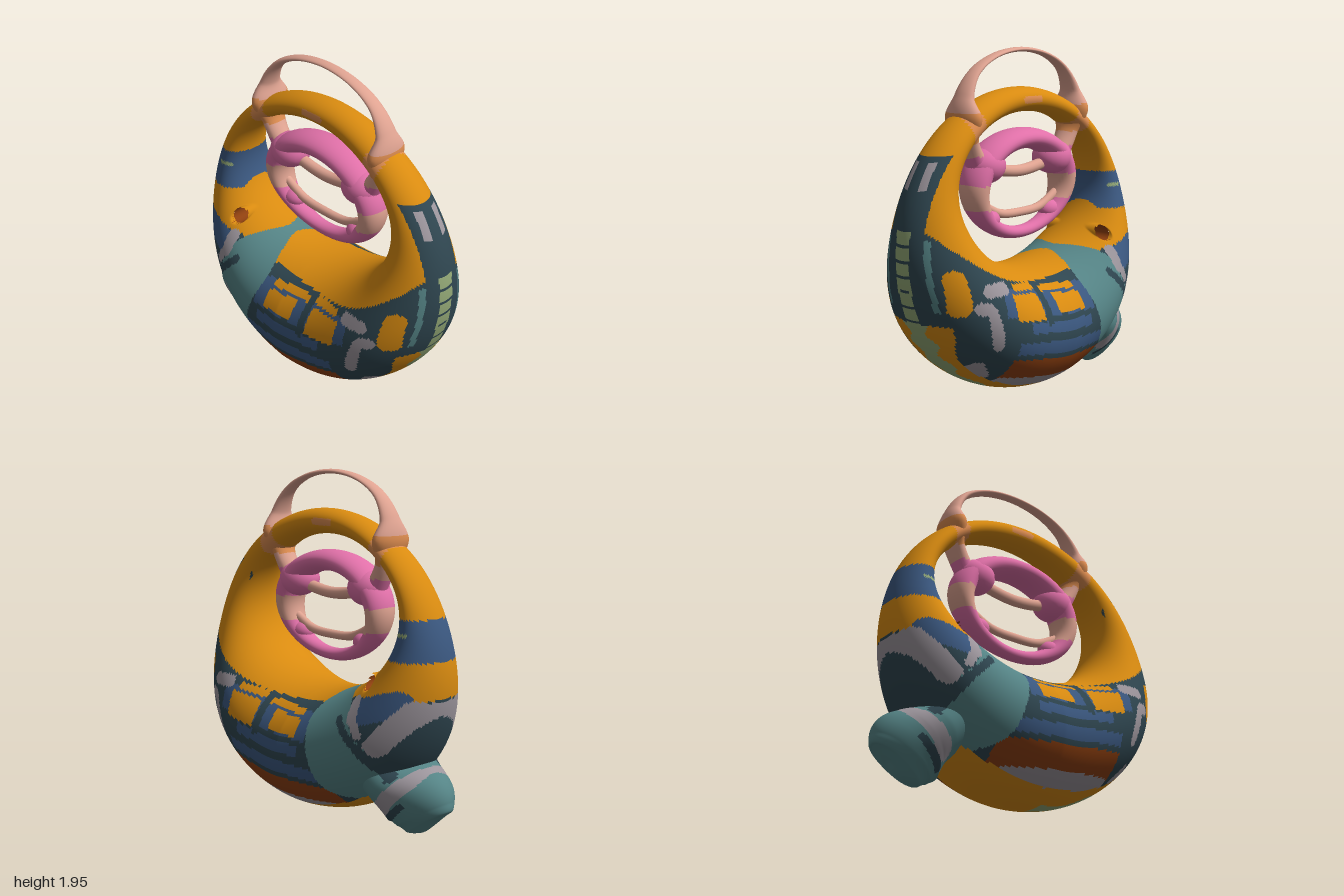
import * as THREE from 'three';

const COLORS = {
  orange: 0xd98b10, slate: 0x2f4650, blue: 0x3b5880, teal: 0x558486, lilac: 0x9c959c,
  rust: 0x8f400f, sage: 0x93a876, pink: 0xe070a8, salmon: 0xdfa391, apricot: 0xdc8c50,
};
const MATS = {};
for (const [name, color] of Object.entries(COLORS)) {
  MATS[name] = new THREE.MeshStandardMaterial({ color });
  MATS[name].name = name;
}

// Panels of the big ring: x range, then height range along its curve
const PANELS = [
  ['lilac', -.36, .42, .1, .19], ['rust', -.37, .42, .19, .31],
  ['blue', -.31, .41, .34, .41], ['blue', -.18, .33, .46, .52],
  ['blue', -.22, .5, .55, .7], ['slate', .15, .2, .5, .72],
  ['orange', -.13, .15, .67, .7], ['orange', -.14, .08, .56, .655],
  ['orange', .2, .4, .685, .72], ['orange', .21, .43, .53, .67],
];
// Brush strokes: start, end, radius
const STROKES = [
  ['sage', -.75, 1.165, -.68, 1.165, .01], ['blue', -.76, .82, -.58, .76, .07],
  ['lilac', -.83, .78, -.66, .58, .055], ['lilac', .48, .765, .59, .765, .035],
  ['lilac', .6, .67, .64, .68, .035], ['lilac', .58, .64, .53, .46, .03],
  ['orange', .75, .84, .73, .69, .05], ['lilac', .5, .25, .57, .33, .03],
  ['teal', -.36, .68, -.45, .4, .16], ['teal', -.5, .5, -.55, .3, .13],
  ['apricot', -.1, 1.71, .02, 1.71, .02],
  ['apricot', -.485, 1.62, -.46, 1.54, .055], ['apricot', .425, 1.62, .4, 1.54, .055],
];
// Strokes lying over the teal area
const TEAL_MARKS = [
  ['lilac', -.52, .8, -.53, .72, .035], ['lilac', -.55, .7, -.58, .64, .025],
  ['slate', -.68, .4, -.58, .56, .028], ['slate', -.58, .56, -.44, .7, .022],
  ['lilac', -.78, .4, -.6, .2, .04], ['slate', -.74, .25, -.6, .13, .018],
];

function applyStrokes(list, color, x, y) {
  for (const [name, ax, ay, bx, by, r] of list) {
    const dx = bx - ax, dy = by - ay;
    const k = THREE.MathUtils.clamp(((x - ax) * dx + (y - ay) * dy) / (dx * dx + dy * dy), 0, 1);
    if (Math.hypot(x - ax - dx * k, y - ay - dy * k) < r) color = name;
  }
  return color;
}

const spoutColor = (x, y) => applyStrokes(TEAL_MARKS, 'teal', x, y);

function patchColor(x, y) {
  const edge = .725 + .36 * x * x + .22 * x ** 4;
  let color = y < (x < -.5 ? .83 : edge) ? 'slate' : 'orange';
  if (x < -.6 && y > 1.03 && y < 1.245) color = 'blue';
  const h = y - .08 * x - .1 * x * x;
  for (const [name, x0, x1, h0, h1] of PANELS)
    if (x > x0 && x < x1 && h > h0 && h < h1) color = name;
  return applyStrokes(TEAL_MARKS, applyStrokes(STROKES, color, x, y), x, y);
}

const HOLE = { x: -.54, y: .9, r: .045 };
const holeDistance = (x, y) => Math.hypot(x - HOLE.x, y - HOLE.y);

// Colours of the big ring: a rim design on the outside edge, patches elsewhere
function bodyColor(x, y, z) {
  if (holeDistance(x, y) < HOLE.r * .97) return null;
  const a = Math.abs(z);
  const outer = Math.hypot(x / .885, (y - .925) / .855) > .8;
  if (outer && x > -.5 && y < .58) {
    if (x > .1 && a < .08 + .025 * Math.sin(y * 45)) return 'sage';
    if (a < .19 + .03 * Math.sin(y * 14)) return 'orange';
  }
  if (outer && x > .55 && y >= .58 && y < 1.46) {
    if (y < 1.08 && a < .05) return (y * 12) % 1 < .15 ? 'slate' : 'sage';
    if (y > .66 && y < 1.04 && Math.abs(a - .24 + .1 * y) < .016) return 'teal';
    if (y > 1.28 && y < 1.42 && a > .035 && a < .08) return 'lilac';
    if (y > 1.05 && a < .12) return 'slate';
  }
  return patchColor(x, y);
}

// Closed-section surface: point(u, v) on a grid, each cell coloured by paint(x, y, z)
function surface(name, point, nu, nv, loop, paint) {
  const pos = [], buckets = {}, rows = loop ? nu : nu + 1;
  for (let i = 0; i < rows; i++)
    for (let j = 0; j < nv; j++) pos.push(...point(i / nu, j / nv * Math.PI * 2));
  const id = (i, j) => (i % rows) * nv + j % nv;
  for (let i = 0; i < nu; i++) for (let j = 0; j < nv; j++) {
    const q = [id(i, j), id(i + 1, j), id(i + 1, j + 1), id(i, j + 1)];
    const mid = [0, 1, 2].map(k => q.reduce((s, n) => s + pos[n * 3 + k], 0) / 4);
    const color = paint(...mid);
    if (color) (buckets[color] ??= []).push(q[0], q[1], q[2], q[0], q[2], q[3]);
  }
  const geo = new THREE.BufferGeometry(), index = [], mats = [];
  geo.setAttribute('position', new THREE.Float32BufferAttribute(pos, 3));
  for (const [color, list] of Object.entries(buckets)) {
    geo.addGroup(index.length, list.length, mats.length);
    for (const n of list) index.push(n);
    mats.push(MATS[color]);
  }
  geo.setIndex(index);
  geo.computeVertexNormals();
  const mesh = new THREE.Mesh(geo, mats);
  mesh.name = name;
  return mesh;
}

// Ring between an outer and an inner ellipse [cx, cy, rx, ry] with varying depth
const ringPoint = (o, n, depth) => (u, v) => {
  const t = u * Math.PI * 2, c = Math.cos(t), s = Math.sin(t), k = (1 + Math.cos(v)) / 2;
  const mix = (a, b) => b + (a - b) * k;
  return [mix(o[0] + o[2] * c, n[0] + n[2] * c), mix(o[1] + o[3] * s, n[1] + n[3] * s),
    depth(s, c) * Math.sin(v)];
};

// Tube with elliptical sections [x, y, half width, half depth] along a smooth spine
function tubePoint(sections) {
  const spine = new THREE.CatmullRomCurve3(sections.map(s => new THREE.Vector3(s[0], s[1], 0)));
  const size = new THREE.CatmullRomCurve3(sections.map(s => new THREE.Vector3(s[2], s[3], 0)));
  return (u, v) => {
    const p = spine.getPoint(u), t = spine.getTangent(u), w = size.getPoint(u);
    const r = Math.max(w.x, .001) * Math.cos(v);
    return [p.x + t.y * r, p.y - t.x * r, Math.max(w.y, .001) * Math.sin(v)];
  };
}

export function createModel() {
  const model = new THREE.Group();

  // Big ring, thick at the bottom, with a small hole pushed through it
  const base = ringPoint([0, .925, .885, .855], [-.04, 1.21, .59, .43], (s, c) =>
    (.225 - .1675 * s + .0425 * s * s + .06 * (s ** 3 - s) + .1 * (s * s - s ** 4)) * (1 - (c < 0 ? .18 : .06) * Math.abs(c)));
  const body = surface('bodyRing', (u, v) => {
    // Rows lie closer together along the painted bottom
    const p = base(u - .06 * Math.cos(u * Math.PI * 2), v), d = holeDistance(p[0], p[1]);
    if (d < HOLE.r) {
      const k = HOLE.r / Math.max(d, 1e-4);
      p[0] = HOLE.x + (p[0] - HOLE.x) * k;
      p[1] = HOLE.y + (p[1] - HOLE.y) * k;
    }
    return p;
  }, 370, 148, true, bodyColor);
  model.add(body);

  // Inward-facing wall of the small hole, reaching the ring surface on both sides
  const verts = body.geometry.attributes.position;
  const wall = new THREE.CylinderGeometry(HOLE.r, HOLE.r, 1, 32, 1, true);
  wall.rotateX(Math.PI / 2);
  wall.translate(HOLE.x, HOLE.y, 0);
  const wp = wall.attributes.position;
  for (let i = 0; i < wp.count; i++) {
    let best = 1, z = 0;
    for (let k = 0; k < verts.count; k++) {
      const d = Math.hypot(verts.getX(k) - wp.getX(i), verts.getY(k) - wp.getY(i));
      if (d < best && verts.getZ(k) > 0) { best = d; z = verts.getZ(k); }
    }
    wp.setZ(i, Math.sign(wp.getZ(i)) * z);
  }
  wall.index.array.reverse();
  wall.computeVertexNormals();
  const wallMesh = new THREE.Mesh(wall, MATS.rust);
  wallMesh.name = 'holeWall';
  model.add(wallMesh);

  // Stubby spout at the lower right of the model
  model.add(surface('spout', tubePoint([
    [-.46, .46, .16, .28], [-.61, .33, .165, .25], [-.68, .275, .195, .21], [-.725, .23, .215, .175],
    [-.76, .175, .195, .135], [-.782, .135, .16, .09], [-.795, .117, .08, .045], [-.8, .112, 0, 0],
  ]), 80, 64, false, spoutColor));

  // Arched handle whose ends pass through the ring
  const half = [[-.36, 1.34, .06, .06], [-.45, 1.5, .045, .075], [-.48, 1.63, .06, .128],
    [-.475, 1.74, .035, .07], [-.4, 1.865, .02, .045], [-.25, 1.95, .014, .036]];
  const mirror = half.map(([x, y, w, d]) => [-.06 - x, y, w, d]).reverse();
  model.add(surface('handle', tubePoint([...half, [-.03, 1.985, .013, .032], ...mirror]), 120, 24, false,
    (x, y) => (y > 1.5 && y < 1.66 ? 'apricot' : y < 1.42 ? 'pink' : 'salmon')));

  // Inner ring hanging in the opening
  model.add(surface('innerRing', ringPoint([-.03, 1.235, .44, .315], [-.035, 1.21, .305, .22],
    s => .095 + .03 * s - .02 * s * s), 120, 32, true,
  (x, y) => (y > 1.26 && !(Math.abs(x + .03) > .36 && y > 1.42) || y < 1.12 ? 'pink' : 'salmon')));

  // Cross bars of the inner ring
  const bar = (name, ends, middle, centre, r) => model.add(surface(name, tubePoint([
    [-.35, ends, r, r], [-.2, middle, r, r], [-.03, centre, r, r], [.14, middle, r, r], [.29, ends, r, r],
  ]), 40, 16, false, () => 'salmon'));
  bar('upperBar', 1.37, 1.325, 1.305, .033);
  bar('lowerBar', 1.15, 1.08, 1.067, .025);

  // Swellings where the bars meet the inner ring
  const ball = new THREE.SphereGeometry(1, 24, 16);
  for (const side of [-1, 1]) {
    for (const [name, dx, y, sx, sy, sz] of [
      ['upperSwelling', .285, 1.36, .12, .1, .115], ['lowerSwelling', .26, 1.055, .075, .055, .06]]) {
      const m = new THREE.Mesh(ball, MATS.pink);
      m.name = name;
      m.position.set(-.03 + side * dx, y, 0);
      m.scale.set(sx, sy, sz);
      model.add(m);
    }
  }
  return model;
}
